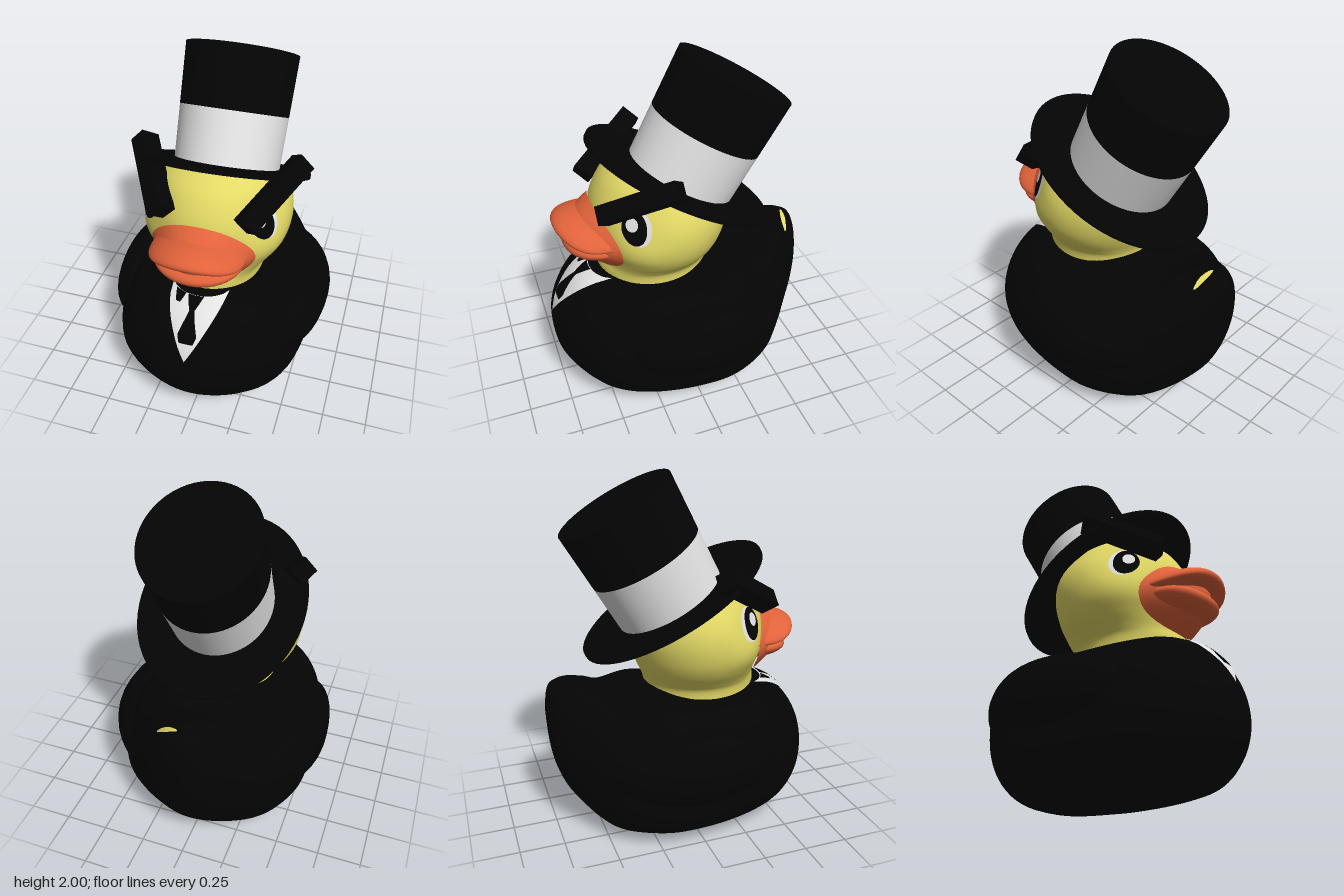
import * as THREE from 'three';
import { mergeVertices } from 'three/addons/utils/BufferGeometryUtils.js';

const mat = (name, color) => {
  const m = new THREE.MeshStandardMaterial({ color });
  m.name = name;
  return m;
};

// Smooth interpolation through the rows of a small table
function sample(rows, u) {
  const last = rows.length - 1;
  const i = Math.min(Math.floor(u), last - 1), t = u - i;
  const row = (k) => rows[Math.max(0, Math.min(last, k))];
  return row(i).map((b, c) => {
    const a = row(i - 1)[c], d = row(i + 1)[c], e = row(i + 2)[c];
    return b + 0.5 * t * (d - a + t * (2 * a - 5 * b + 4 * d - e + t * (3 * (b - d) + e - a)));
  });
}

// Grid surface from a rule f(u, v), with u and v in 0..1
function surface(nu, nv, f) {
  const pos = [], idx = [];
  for (let i = 0; i <= nu; i++)
    for (let j = 0; j <= nv; j++) pos.push(...f(i / nu, j / nv));
  for (let i = 0; i < nu; i++)
    for (let j = 0; j < nv; j++) {
      const a = i * (nv + 1) + j, b = a + nv + 1;
      idx.push(a, b, b + 1, a, b + 1, a + 1);
    }
  let g = new THREE.BufferGeometry();
  g.setAttribute('position', new THREE.Float32BufferAttribute(pos, 3));
  g.setIndex(idx);
  g = mergeVertices(g, 1e-5);
  g.computeVertexNormals();
  return g;
}

// Ellipsoid whose unit-sphere vertices are moved by a rule
function blob(rule) {
  let g = new THREE.SphereGeometry(1, 40, 28);
  g.deleteAttribute('uv');
  g.deleteAttribute('normal');
  g = mergeVertices(g, 1e-5);
  const p = g.attributes.position;
  for (let i = 0; i < p.count; i++) p.setXYZ(i, ...rule(p.getX(i), p.getY(i), p.getZ(i)));
  g.computeVertexNormals();
  return g;
}

const spow = (v, e) => Math.sign(v) * Math.abs(v) ** e;
const bump = (v, width) => Math.exp(-((v / width) ** 2));

// Body sections, front to tail: z, bottom, top, half width
const BODY = [
  [0.772, 0.4, 0.4, 0], [0.755, 0.27, 0.52, 0.14], [0.7, 0.17, 0.63, 0.27], [0.6, 0.07, 0.735, 0.41],
  [0.48, 0.02, 0.785, 0.49], [0.3, 0.01, 0.79, 0.54], [0, 0.005, 0.79, 0.565], [-0.22, 0, 0.82, 0.56],
  [-0.42, 0, 0.815, 0.48], [-0.53, 0.05, 0.86, 0.39], [-0.63, 0.16, 0.89, 0.28], [-0.7, 0.28, 0.885, 0.2],
  [-0.75, 0.45, 0.85, 0.12], [-0.775, 0.72, 0.72, 0],
];
// Sections are squarer in the middle and rounder toward both ends
const roundness = (z, middle) => middle + (1 - middle) * Math.min(1, (z / 0.6) ** 2);
function bodyPoint(u, a, lift = 0) {
  const [z, lo, hi, w] = sample(BODY, u);
  const mid = lo + 0.45 * (hi - lo), s = Math.sin(a);
  const e = roundness(z, s > 0 ? 0.8 : 0.55);
  const h = (s > 0 ? hi - mid : mid - lo) + lift;
  return [(w + lift) * spow(Math.cos(a), e), mid + h * spow(s, e), z];
}
// Front surface of the upper chest at x, y
function chestZ(x, y) {
  for (let u = 0; u < 7; u += 0.01) {
    const [z, lo, hi, w] = sample(BODY, u);
    const mid = lo + 0.45 * (hi - lo), n = 2 / roundness(z, 0.8);
    if (Math.abs(x / Math.max(1e-3, w)) ** n + Math.abs((y - mid) / Math.max(1e-3, hi - mid)) ** n <= 1) return z;
  }
  return 0.3;
}
const chestPatch = (lo, hi, cx, width, lift) => surface(12, 16, (u, v) => {
  const y = lo + (hi - lo) * v, x = cx + width(v) * (2 * u - 1);
  return [x, y + lift * 0.7, chestZ(x, y) + lift];
});

// Head rings: y, half width, front z, back z
const HEAD = [
  [0.7, 0.27, 0.465, -0.18], [0.8, 0.275, 0.47, -0.19], [0.85, 0.305, 0.46, -0.2], [0.92, 0.36, 0.465, -0.23],
  [1, 0.4, 0.485, -0.26], [1.1, 0.417, 0.495, -0.285], [1.2, 0.405, 0.49, -0.29], [1.3, 0.36, 0.45, -0.27],
  [1.38, 0.3, 0.39, -0.21], [1.45, 0.19, 0.28, -0.08], [1.48, 0, 0.1, 0.1],
];
function headRing(y) {
  let a = 0, b = HEAD.length - 1;
  for (let i = 0; i < 30; i++) {
    const m = (a + b) / 2;
    if (sample(HEAD, m)[0] < y) a = m; else b = m;
  }
  return sample(HEAD, a);
}
// Point on a head ring, drawn in around the eyes and fuller beside the bill
function ringPoint([y, w, front, back], angle, lift = 0) {
  const pinch = 0.1 * bump(y - 1.22, 0.12) - 0.05 * bump(y - 1.02, 0.1);
  const cheek = Math.cos(angle) > 0 ? 1 - pinch * Math.sin(2 * angle) ** 2 : 1;
  return [(w + lift) * cheek * Math.sin(angle), y, (front + back) / 2 + ((front - back) / 2 + lift) * Math.cos(angle)];
}
// Painted ellipse on the head
const headSpot = (angle, y, rx, ry, lift) => surface(6, 32, (u, v) => {
  const t = v * Math.PI * 2;
  return ringPoint(headRing(y + ry * u * Math.sin(t)), angle + (rx / 0.4) * u * Math.cos(t), lift);
});

export function createModel() {
  const root = new THREE.Group();
  const black = mat('black', 0x040404), yellow = mat('yellow', 0xe3d965), orange = mat('orange', 0xe0623a);
  const white = mat('white', 0xe2e2e2);
  const add = (name, geometry, material, parent = root) => {
    const m = new THREE.Mesh(geometry, material);
    m.name = name;
    parent.add(m);
    return m;
  };

  // Body with raised tail, and wings
  add('body', surface(78, 56, (u, v) => bodyPoint(u * (BODY.length - 1), v * Math.PI * 2)), black);
  for (const side of [1, -1]) {
    const wing = blob((x, y, z) => {
      const pz = z * (z < 0 ? 0.54 : 0.49), shrink = pz < 0 ? 0.6 * pz * pz : 0;
      return [side * 0.38 + 0.27 * spow(x, 0.7) - side * shrink, 0.46 + 0.22 * y, pz - 0.05];
    });
    add(side > 0 ? 'leftWing' : 'rightWing', wing, black);
  }
  // Slanted mark on the tail
  add('tailMark', surface(6, 14, (u, v) => {
    const half = 0.24 * Math.sin(Math.PI * (0.1 + 0.8 * v));
    return bodyPoint(10.4 + 0.35 * v + half * (2 * u - 1), 0.95 + 0.53 * v, 0.008);
  }), yellow);

  // Shirt front and tie
  add('shirt', chestPatch(0.5, 0.775, 0, (v) => 0.16 * v, 0.006), white);
  add('tie', chestPatch(0.6, 0.735, 0, (v) => Math.min(0.04 + 0.05 * v, 0.068 - 0.054 * v), 0.011), black);
  add('tieKnot', chestPatch(0.735, 0.775, 0, (v) => 0.014 + 0.03 * v, 0.011), black);
  add('collarMark', chestPatch(0.75, 0.775, -0.09, (v) => 0.012 + 0.02 * v, 0.011), black);

  // Head, flattened where it meets the hat brim
  add('head', surface(56, 50, (u, v) => {
    const p = ringPoint(sample(HEAD, v * (HEAD.length - 1)), u * Math.PI * 2);
    p[1] = Math.min(p[1], 1.285 + 0.564 * (p[2] + 0.025) - 0.015);
    return p;
  }), yellow);

  // Bill: rounded base with a full, blunt upper and lower lip
  add('billBase', surface(14, 40, (u, v) => {
    const t = v * Math.PI * 2, x = 0.272 * u * Math.cos(t), y = 1.028 + 0.195 * u * Math.sin(t);
    const ring = headRing(y), p = ringPoint(ring, Math.asin(x / ring[1]), 0.008);
    return [p[0], y, p[2] + 0.14 * (1 - u * u)];
  }), orange);
  add('upperBill', blob((x, y, z) => [
    0.26 * x, 1.105 + 0.068 * y - 0.06 * x * x + 0.012 * z, 0.46 + 0.25 * spow(z, 0.8),
  ]), orange);
  add('lowerBill', blob((x, y, z) => [
    0.245 * x, 0.978 + 0.073 * y + 0.025 * x * x + 0.01 * z, 0.44 + 0.225 * spow(z, 0.8),
  ]), orange);

  // Eyes and slanted brows
  for (const side of [1, -1]) {
    const eye = new THREE.Group();
    eye.name = side > 0 ? 'leftEye' : 'rightEye';
    root.add(eye);
    add('eyeWhite', headSpot(side * 0.98, 1.195, 0.078, 0.093, 0.004), white, eye);
    add('pupil', headSpot(side * 0.94, 1.195, 0.07, 0.087, 0.008), black, eye);
    add('eyeShine', headSpot(side * 0.915, 1.215, 0.034, 0.036, 0.012), white, eye);

    const along = new THREE.Vector3(-side * 0.46, -0.445, 0.766).normalize();
    const across = new THREE.Vector3(-side * 0.445, 0.46, 0).normalize();
    const deep = new THREE.Vector3().crossVectors(along, across);
    const brow = add(side > 0 ? 'leftBrow' : 'rightBrow', new THREE.BoxGeometry(0.46, 0.1, 0.11), black);
    brow.quaternion.setFromRotationMatrix(new THREE.Matrix4().makeBasis(along, across, deep));
    brow.position.set(side > 0 ? 0.352 : -0.3, 1.375, 0.308);
  }

  // Tilted top hat
  const hat = new THREE.Group();
  hat.name = 'hat';
  hat.position.set(0.007, 1.283, -0.023);
  hat.rotation.x = -0.513;
  root.add(hat);
  const brim = add('hatBrim', new THREE.CylinderGeometry(0.58, 0.58, 0.022, 64), black, hat);
  brim.scale.x = 0.81;
  const band = add('hatBand', new THREE.CylinderGeometry(0.332, 0.322, 0.3, 64, 1, true), white, hat);
  band.position.set(0, 0.15, -0.01);
  const crown = add('hatCrown', new THREE.CylinderGeometry(0.343, 0.332, 0.335, 64), black, hat);
  crown.position.set(0, 0.4675, -0.01);
  band.scale.x = crown.scale.x = 0.91;

  return root;
}
